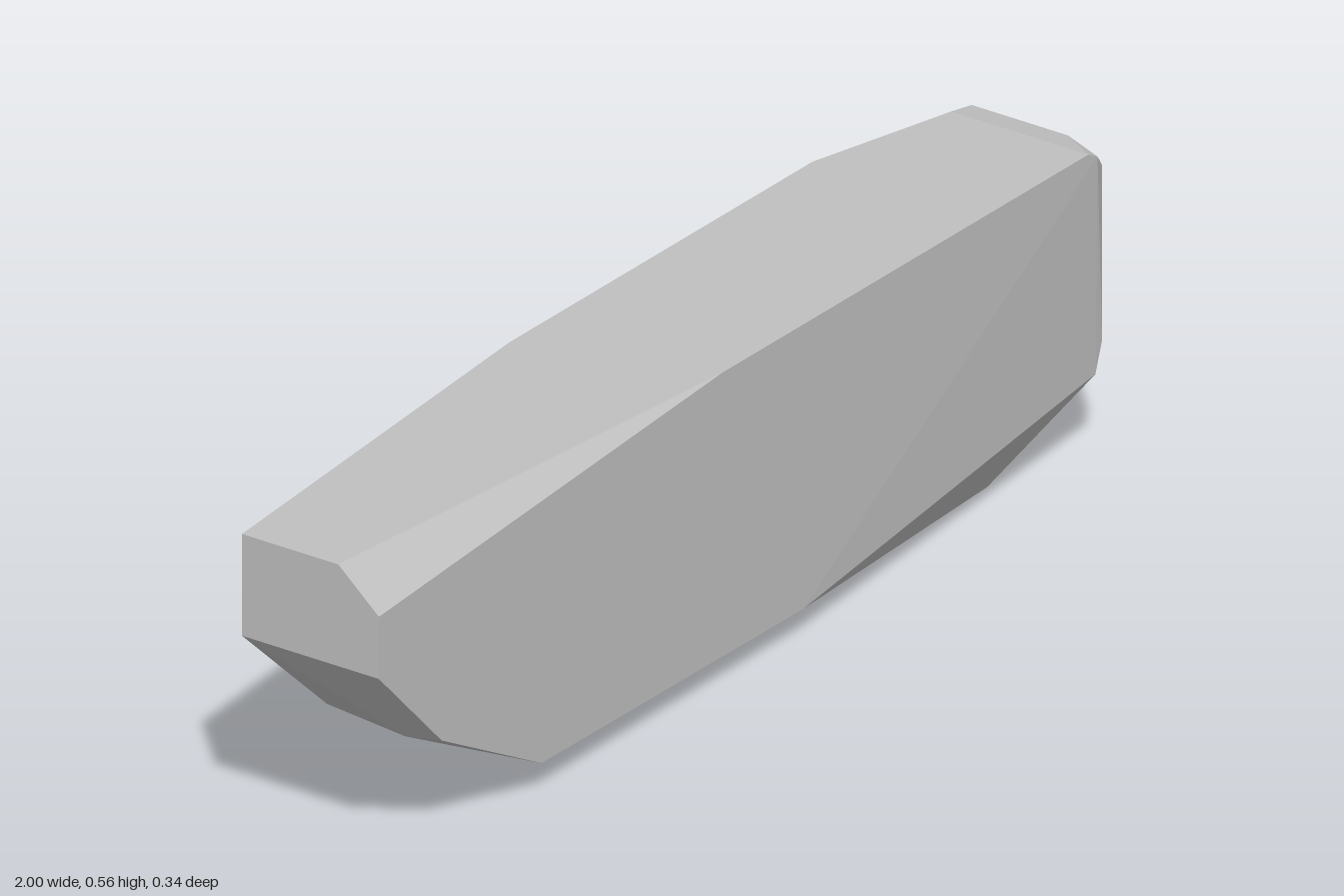
import * as THREE from 'three';
import { ConvexGeometry } from 'three/addons/geometries/ConvexGeometry.js';

export function createModel() {
  const model = new THREE.Group();
  model.name = 'rockSlab';

  const stone = new THREE.MeshStandardMaterial({ color: 0xc0c0c0 });
  stone.name = 'grey stone';

  const points = [];
  // Adds corners given as [x, y] pairs that share one depth z
  const layer = (z, corners) => corners.forEach(([x, y]) => points.push(new THREE.Vector3(x, y, z)));

  // Front face, with its clipped upper corner and bevelled end
  layer(0.17, [[-1, 0.485], [-1, 0.375], [-0.83, 0.2], [-0.56, 0.055], [0.15, 0.052],
    [0.945, 0.542], [0.92, 0.555], [-0.07, 0.555]]);
  layer(0.155, [[0.96, 0.147], [0.978, 0.2], [0.978, 0.51]]);

  // Middle: rounded end, clipped top corner and the pointed keel
  layer(0.09, [[-1, 0.555], [1, 0.2], [1, 0.51], [0.975, 0.545], [0.95, 0.136]]);
  layer(0.12, [[-0.86, 0.205]]);
  layer(0.08, [[0.77, 0]]);
  layer(0.04, [[0.78, 0]]);

  // Back rim, where the back face starts to slope inwards
  layer(-0.1, [[-1, 0.555], [-1, 0.375], [-0.77, 0.165], [-0.44, 0.055], [0.02, 0.052],
    [0.96, 0.145], [1, 0.2], [1, 0.51], [0.975, 0.545], [0.92, 0.555]]);

  // Flat area of the back
  layer(-0.17, [[-0.18, 0.555], [0.64, 0.555], [0.64, 0.375], [0.2, 0.375], [-0.18, 0.51]]);

  const slab = new THREE.Mesh(new ConvexGeometry(points), stone);
  slab.name = 'slab';
  model.add(slab);
  return model;
}
